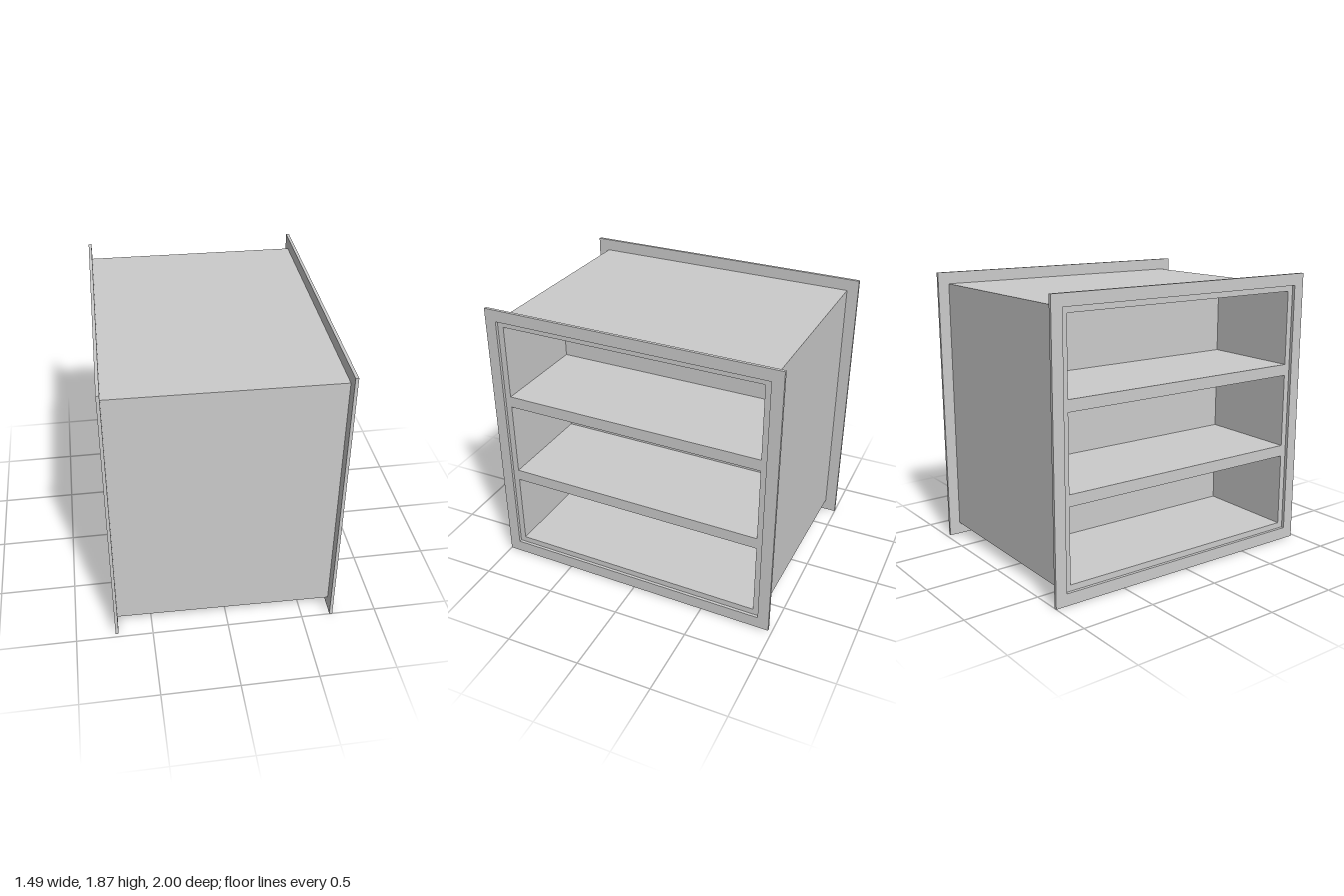
import * as THREE from 'three';

const material = new THREE.MeshStandardMaterial({ color: 0xcccccc, flatShading: true });

// Rectangle outline, centred horizontally
function rect(Type, halfWidth, y0, y1) {
  return new Type([
    new THREE.Vector2(-halfWidth, y0), new THREE.Vector2(halfWidth, y0),
    new THREE.Vector2(halfWidth, y1), new THREE.Vector2(-halfWidth, y1),
  ]);
}

// Rectangle with openings, extruded along x from x0 to x1
function frame(name, outline, openings, x0, x1) {
  outline.holes.push(...openings);
  const geometry = new THREE.ExtrudeGeometry(outline, { depth: x1 - x0, bevelEnabled: false });
  geometry.rotateY(Math.PI / 2).translate(x0, 0, 0);
  const mesh = new THREE.Mesh(geometry, material);
  mesh.name = name;
  return mesh;
}

export function createModel() {
  const group = new THREE.Group();
  group.name = 'doubleSidedShelfUnit';

  const height = 1.873, bodyBottom = 0.08, bodyTop = 1.795;
  const bodyHalfDepth = 0.911, inner = 0.707, outer = 0.727;

  // Carcass with three compartments running through it
  const cells = [[0.12, 0.614], [0.69, 1.186], [1.262, 1.757]];
  group.add(frame('carcass', rect(THREE.Shape, bodyHalfDepth, bodyBottom, bodyTop),
    cells.map(([y0, y1]) => rect(THREE.Path, 0.871, y0, y1)), -inner, inner));

  // Central wall closing the compartments from both sides
  for (const [y0, y1] of cells) {
    const wall = new THREE.Mesh(new THREE.BoxGeometry(0.04, y1 - y0, 1.742), material);
    wall.position.y = (y0 + y1) / 2;
    wall.name = 'centreWall';
    group.add(wall);
  }

  // Projecting face frame around each open side
  for (const [name, x0, x1] of [['leftFaceFrame', inner, outer], ['rightFaceFrame', -outer, -inner]]) {
    group.add(frame(name, rect(THREE.Shape, 0.987, 0, height),
      [rect(THREE.Path, bodyHalfDepth, bodyBottom, bodyTop)], x0, x1));
  }

  // The whole unit stands turned by about one degree
  group.rotation.y = -0.018;
  return group;
}
